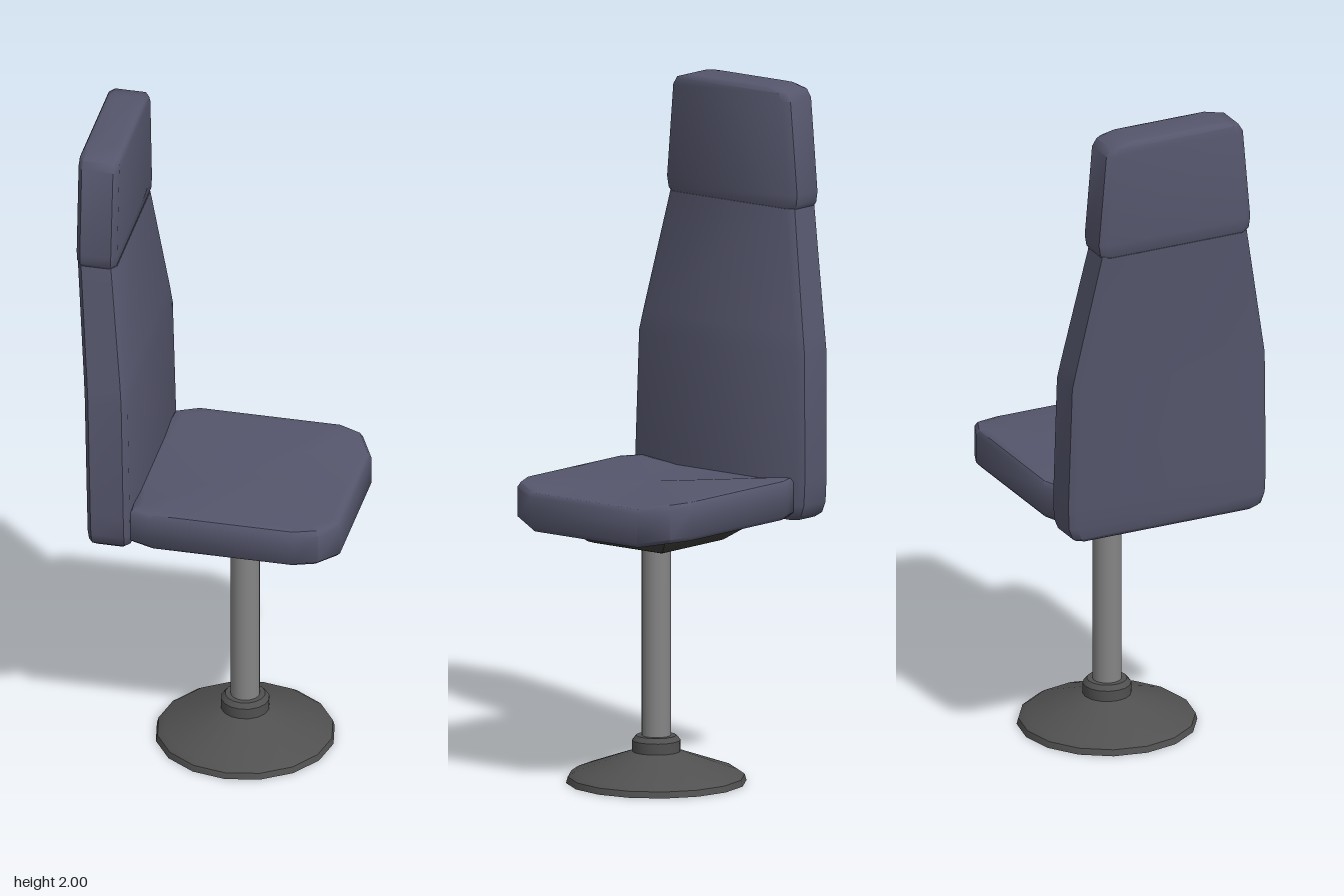
import * as THREE from 'three';
import { toCreasedNormals } from 'three/addons/utils/BufferGeometryUtils.js';

const CENTRE_X = 0.06; // pedestal axis

// Closed skin through rings of [x, y, z] points, capped at both ends.
function loft(rings, crease = 0.9) {
  const n = rings[0].length;
  const pos = rings.flat(2);
  const index = [];
  for (let r = 0; r < rings.length - 1; r++) {
    for (let i = 0; i < n; i++) {
      const a = r * n + i, b = r * n + (i + 1) % n;
      index.push(a, b, b + n, a, b + n, a + n);
    }
  }
  const cap = (ring, start, up) => {
    const c = pos.length / 3;
    for (let k = 0; k < 3; k++) pos.push(ring.reduce((s, p) => s + p[k], 0) / n);
    for (let i = 0; i < n; i++) {
      const a = start + i, b = start + (i + 1) % n;
      index.push(c, up ? a : b, up ? b : a);
    }
  };
  cap(rings[0], 0, false);
  cap(rings[rings.length - 1], (rings.length - 1) * n, true);
  const g = new THREE.BufferGeometry();
  g.setAttribute('position', new THREE.Float32BufferAttribute(pos, 3));
  g.setIndex(index);
  return toCreasedNormals(g, crease);
}

// Half outline on +z, from rear to front, completed by its mirror image.
const mirrored = (half) => [...half, ...half.map(([x, y, z]) => [x, y, -z]).reverse()];

// Rectangle with cut corners at height y.
function slab(y, xBack, xFront, z, c = 0.014) {
  return mirrored([
    [xBack, y, z - 1.5 * c], [xBack + c, y, z],
    [xFront - c, y, z], [xFront, y, z - 1.5 * c],
  ]);
}

// Seat outline, shrunk by an inset and raised along its sides.
function seatRing(y, inset) {
  const outline = [[-0.23, 0.16], [-0.215, 0.285], [-0.15, 0.312], [0.275, 0.312], [0.34, 0.285], [0.385, 0.2]];
  return mirrored(outline.map(([x, z]) => {
    const lift = 0.018 * THREE.MathUtils.smoothstep(z, 0.19, 0.312);
    return [0.08 + (x - 0.08) * (1 - inset / 0.3), y + lift, z * (1 - inset / 0.312)];
  }));
}

export function createModel() {
  const group = new THREE.Group();
  const fabric = new THREE.MeshStandardMaterial({ color: 0x55566c });
  const steel = new THREE.MeshStandardMaterial({ color: 0x858585 });
  const darkMetal = new THREE.MeshStandardMaterial({ color: 0x505050 });
  const trayDark = new THREE.MeshStandardMaterial({ color: 0x3c3c3a });

  const add = (name, geometry, material, x = 0, y = 0) => {
    const mesh = new THREE.Mesh(geometry, material);
    mesh.name = name;
    mesh.position.set(x, y, 0);
    group.add(mesh);
  };

  // Seat cushion with softened rims
  add('seatCushion', loft([
    seatRing(0.753, 0.035), seatRing(0.753, 0.012), seatRing(0.766, 0),
    seatRing(0.852, 0), seatRing(0.866, 0.008), seatRing(0.868, 0.03),
  ]), fabric);

  // Backrest, narrowing and leaning back above the waist
  add('backrest', loft([
    slab(0.755, -0.322, -0.222, 0.285),
    slab(0.768, -0.335, -0.212, 0.302),
    slab(0.8, -0.336, -0.211, 0.314),
    slab(0.87, -0.337, -0.212, 0.317),
    slab(1.24, -0.346, -0.22, 0.309),
    slab(1.3, -0.351, -0.226, 0.298),
    slab(1.65, -0.384, -0.268, 0.232),
  ]), fabric);

  // Headrest
  add('headrest', loft([
    slab(1.645, -0.38, -0.272, 0.23),
    slab(1.658, -0.385, -0.267, 0.238),
    slab(1.69, -0.385, -0.266, 0.243),
    slab(1.962, -0.385, -0.265, 0.219),
    slab(1.985, -0.384, -0.266, 0.205),
    slab(1.997, -0.378, -0.272, 0.165),
    slab(2.0, -0.368, -0.282, 0.13),
  ]), fabric);

  // Sloped mounting tray under the seat
  const square = (y, h) => mirrored([[-h, y, h], [h, y, h]]);
  add('mountingTray', loft([
    square(0.7, 0.125), square(0.704, 0.137), square(0.752, 0.2), square(0.775, 0.212),
  ], 0.5), trayDark, CENTRE_X);

  // Pole
  add('pole', new THREE.CylinderGeometry(0.042, 0.042, 0.6, 20), steel, CENTRE_X, 0.41);

  // Round foot with collar
  const profile = [[0, 0], [0.26, 0], [0.255, 0.018], [0.235, 0.032], [0.07, 0.09],
    [0.07, 0.122], [0.058, 0.136], [0, 0.136]].map(([r, y]) => new THREE.Vector2(r, y));
  add('foot', toCreasedNormals(new THREE.LatheGeometry(profile, 16), 0.6), darkMetal, CENTRE_X);

  return group;
}
